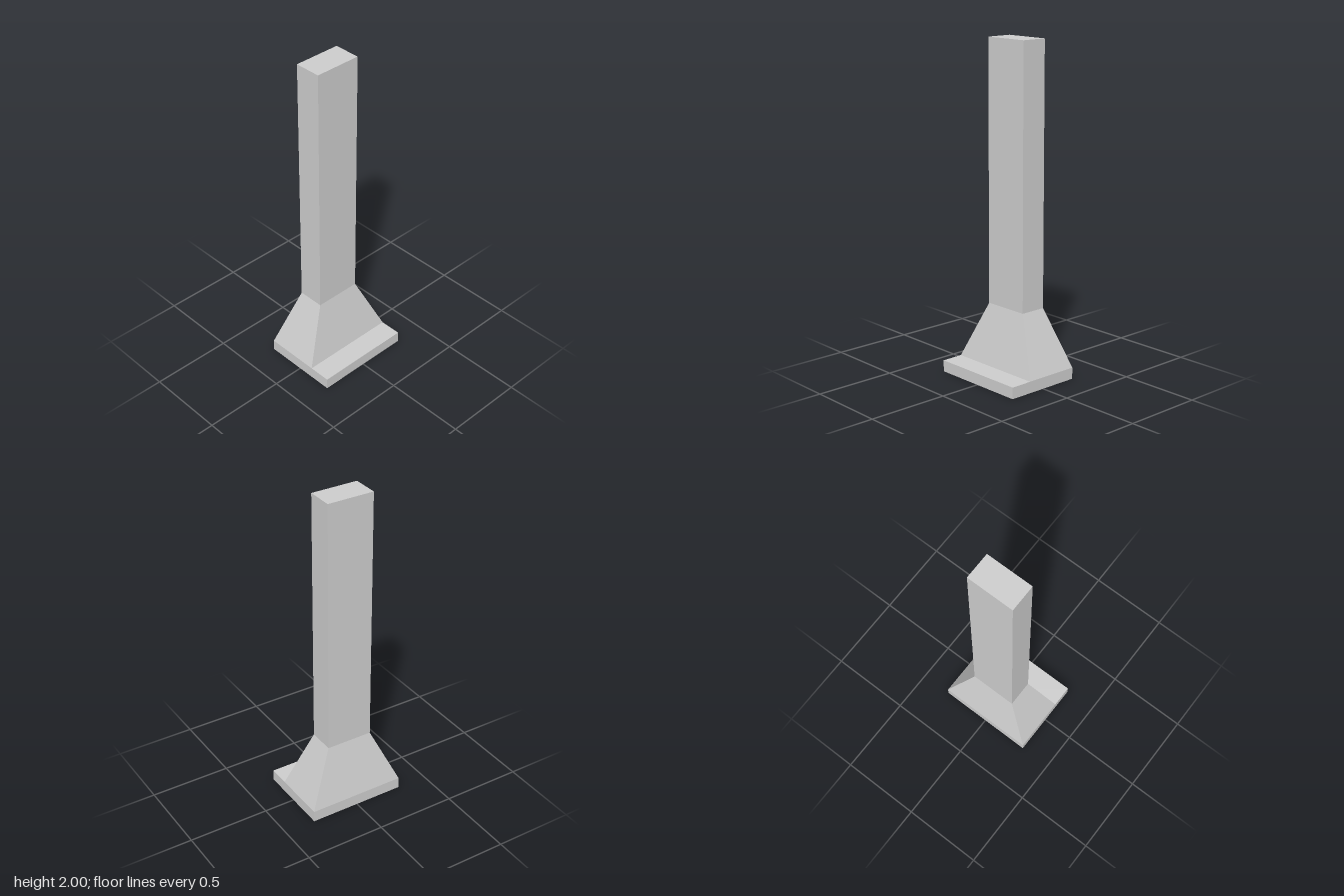
import * as THREE from 'three';

const material = new THREE.MeshStandardMaterial({ color: 0xcccccc, flatShading: true });
const W = 0.61, D = 0.48;          // base plate
const HOOD_D = 0.344, HOOD_Z = -0.068; // hood footprint depth and centre
const DUCT_W = 0.292, DUCT_D = 0.164;
const BASE_H = 0.07, HOOD_TOP = 0.42, RECESS = 0.02;

function part(name, geometry, y = 0, z = 0) {
  const mesh = new THREE.Mesh(geometry, material);
  mesh.name = name;
  mesh.position.set(0, y, z);
  return mesh;
}

// Box standing on y = 0 whose top is scaled to a different width and depth
function taperedBox(w, h, d, topW, topD) {
  const g = new THREE.BoxGeometry(w, h, d).translate(0, h / 2, 0);
  const p = g.attributes.position;
  for (let i = 0; i < p.count; i++) {
    if (p.getY(i) > h / 2) {
      p.setX(i, p.getX(i) * topW / w);
      p.setZ(i, p.getZ(i) * topD / d);
    }
  }
  g.computeVertexNormals();
  return g;
}

function rectangle(PathType, w, d, cy) {
  const x = w / 2, y = d / 2;
  return new PathType([[-x, -y], [x, -y], [x, y], [-x, y]]
    .map(([a, b]) => new THREE.Vector2(a, b + cy)));
}

export function createModel() {
  const model = new THREE.Group();
  model.name = 'rangeHood';

  // Underside rim around the sunken filter panel
  const rim = rectangle(THREE.Shape, W, D, 0);
  rim.holes.push(rectangle(THREE.Path, W * 0.85, HOOD_D * 0.85, -HOOD_Z));
  const rimGeometry = new THREE.ExtrudeGeometry(rim, { depth: RECESS, bevelEnabled: false });
  rimGeometry.rotateX(-Math.PI / 2);
  model.add(part('baseRim', rimGeometry));

  // Plate above the rim; its underside closes the recess
  const plateH = BASE_H - RECESS;
  model.add(part('basePlate', taperedBox(W, plateH, D, W, D), RECESS));

  // Sloped hood and the tall duct above it
  model.add(part('hood', taperedBox(W, HOOD_TOP - BASE_H, HOOD_D, DUCT_W, DUCT_D), BASE_H, HOOD_Z));
  model.add(part('duct', taperedBox(DUCT_W, 2 - HOOD_TOP, DUCT_D, DUCT_W, DUCT_D), HOOD_TOP, HOOD_Z));

  return model;
}
